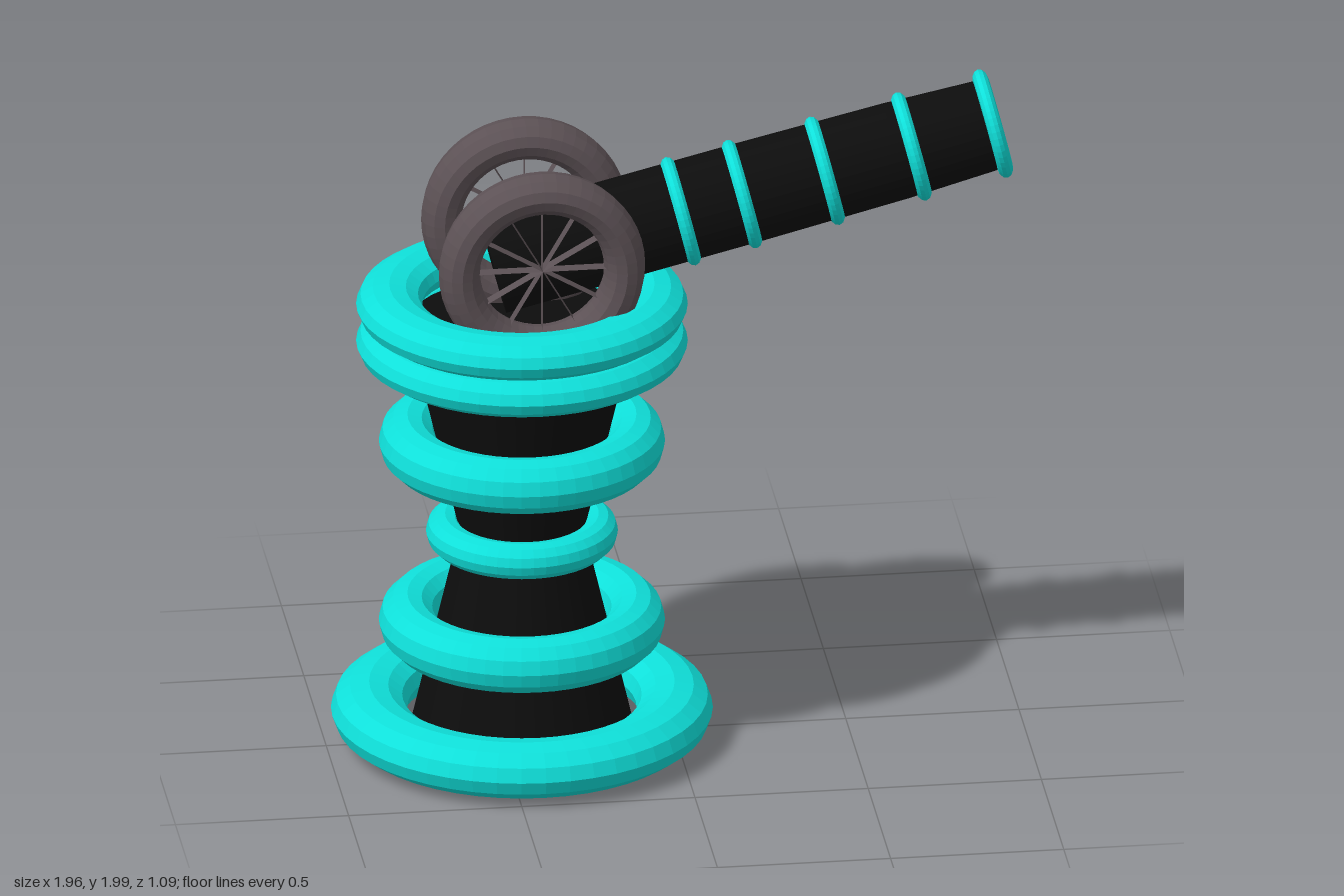
import * as THREE from 'three';

const mat = (name, color, side = THREE.FrontSide) =>
  Object.assign(new THREE.MeshStandardMaterial({ color, flatShading: true, side }), { name });

export function createModel() {
  const teal = mat('teal', 0x0fe0da);
  const black = mat('black', 0x0d0d0d);
  const grey = mat('warm grey', 0x5c5155, THREE.DoubleSide);
  const model = new THREE.Group();

  const add = (parent, name, geometry, material) => {
    const mesh = new THREE.Mesh(geometry, material);
    mesh.name = name;
    parent.add(mesh);
    return mesh;
  };
  const lathe = (points) =>
    new THREE.LatheGeometry(points.map(([r, y]) => new THREE.Vector2(r, y)), 32);

  // Torus around y: tube is a quarter of the ring radius, height set separately
  const ring = (outer, halfHeight) => {
    const R = outer / 1.25, r = R / 4;
    return new THREE.TorusGeometry(R, r, 12, 48)
      .scale(1, 1, halfHeight / r)
      .rotateX(-Math.PI / 2);
  };

  // Hourglass pedestal with stacked rings
  const pedestal = new THREE.Group();
  pedestal.name = 'pedestal';
  pedestal.position.x = -0.435;
  model.add(pedestal);
  add(pedestal, 'column', lathe([[0, 0], [0.328, 0], [0.178, 0.645], [0.328, 1.29], [0, 1.29]]), black);
  const pedestalRings = [
    // outer radius, centre height, half height
    [0.547, 0.09, 0.081],
    [0.41, 0.366, 0.081],
    [0.275, 0.644, 0.053],
    [0.41, 0.926, 0.081],
    [0.475, 1.238, 0.062],
    [0.475, 1.353, 0.062],
  ];
  for (const [outer, y, half] of pedestalRings) {
    add(pedestal, 'pedestalRing', ring(outer, half), teal).position.y = y;
  }

  // Barrel, built along y from its rear end and then tilted towards +x
  const barrel = new THREE.Group();
  barrel.name = 'barrel';
  barrel.position.set(-0.52, 1.48, 0);
  barrel.rotation.z = -Math.PI / 2 + Math.atan(0.248);
  model.add(barrel);
  add(barrel, 'barrelTube', lathe([
    [0, 0], [0.145, 0], [0.145, 0.75], [0.141, 1.2], [0.131, 1.49],
    [0.1, 1.49], [0.1, 0.5], [0, 0.5],
  ]), black);
  for (const along of [0.56, 0.742, 0.988, 1.246, 1.488]) {
    add(barrel, 'barrelRing', ring(0.161, 0.023), teal).position.y = along;
  }

  // Wheels with thin ribbon spokes that lie edge-on to the front
  for (const z of [0.178, -0.218]) {
    const wheel = new THREE.Group();
    wheel.name = 'wheel';
    wheel.position.set(-0.4, 1.535, z);
    model.add(wheel);
    add(wheel, 'tyre', ring(0.298, 0.073).rotateX(Math.PI / 2), grey);
    for (let i = 0; i < 6; i++) {
      const spoke = new THREE.PlaneGeometry(0.38, 0.04).rotateX(Math.PI / 2);
      add(wheel, 'spoke', spoke, grey).rotation.z = (i * Math.PI) / 6;
    }
  }

  return model;
}
